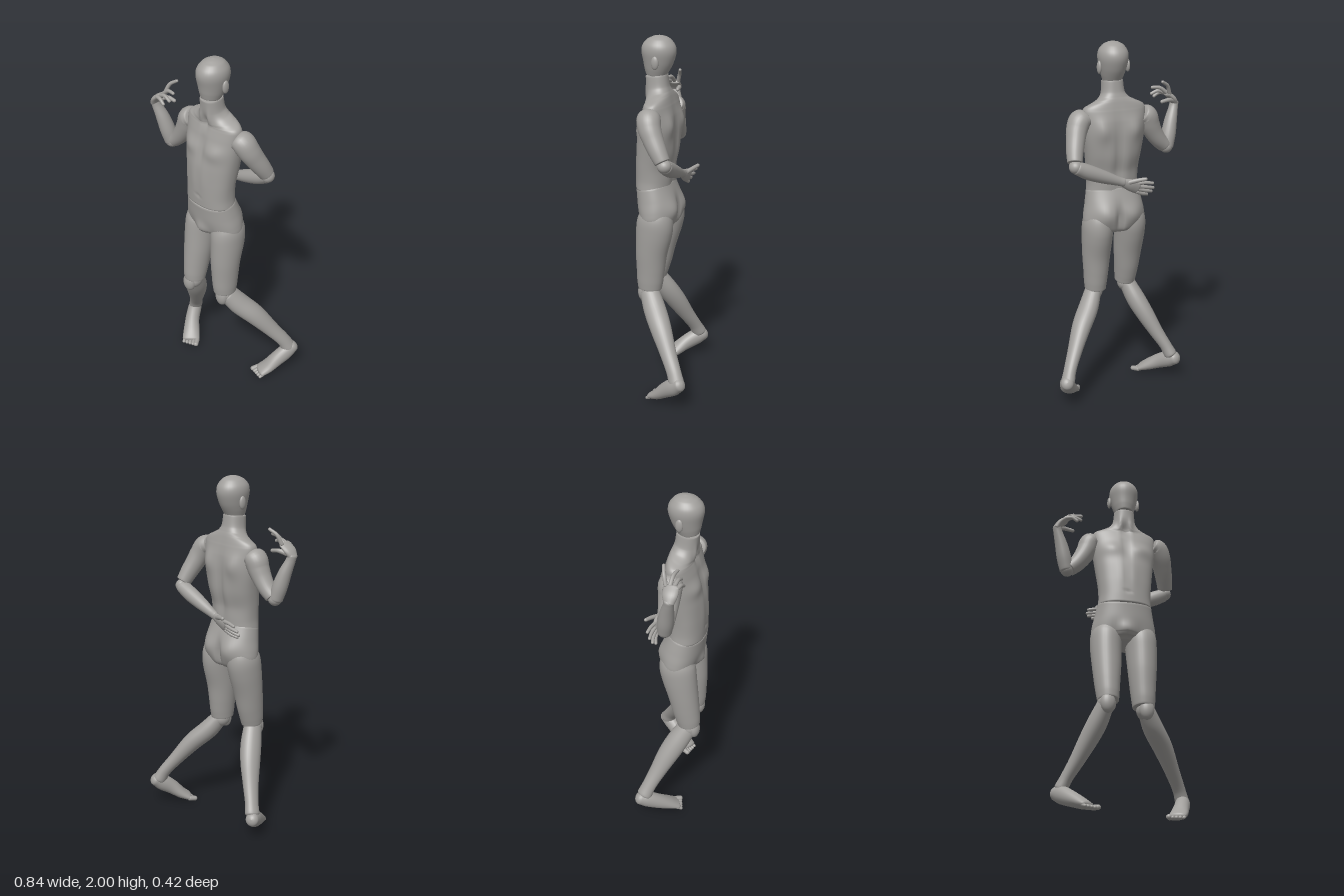
import * as THREE from 'three';

const V = (p) => new THREE.Vector3(p[0], p[1], p[2]);
const Y = V([0, 1, 0]), Z = V([0, 0, 1]);

// Smooth loft along rows [x, y, z, halfWidth, halfDepth]; ref is the direction of depth.
function loft(rows, { ref = Z, n = 24, steps = 5, cap = 0.6, power = 1, bend = null } = {}) {
  const path = new THREE.CatmullRomCurve3(rows.map(V), false, 'centripetal');
  const size = new THREE.CatmullRomCurve3(rows.map((r) => V([r[3], r[4] ?? r[3], 0])), false, 'catmullrom', 0.5);
  const count = (rows.length - 1) * steps, rings = [];
  const dome = (t, sign) => [0.25, 0.5, 0.75, 0.92, 1].map((k) => {
    const s = size.getPoint(t);
    const c = path.getPoint(t).addScaledVector(path.getTangent(t), sign * k * cap * Math.min(s.x, s.y));
    return { c, t, s: s.multiplyScalar(Math.sqrt(1 - k * k)) };
  });
  rings.push(...dome(0, -1).reverse());
  for (let i = 0; i <= count; i++) rings.push({ c: path.getPoint(i / count), t: i / count, s: size.getPoint(i / count) });
  rings.push(...dome(1, 1));

  const pos = [], index = [];
  const soft = (v) => Math.sign(v) * Math.abs(v) ** power;
  rings.forEach(({ c, t, s }, i) => {
    const along = path.getTangent(t);
    const side = ref.clone().cross(along).normalize();
    const front = along.clone().cross(side);
    for (let j = 0; j < n; j++) {
      const a = (j / n) * Math.PI * 2;
      const v = c.clone()
        .addScaledVector(side, soft(Math.cos(a)) * Math.max(s.x, 0.0005))
        .addScaledVector(front, soft(Math.sin(a)) * Math.max(s.y, 0.0005));
      if (bend) bend(v);
      pos.push(v.x, v.y, v.z);
      if (i < rings.length - 1) {
        const p = i * n + j, q = i * n + ((j + 1) % n);
        index.push(p, q, p + n, q, q + n, p + n);
      }
    }
  });
  const g = new THREE.BufferGeometry();
  g.setAttribute('position', new THREE.Float32BufferAttribute(pos, 3));
  g.setIndex(index);
  g.computeVertexNormals();
  return g;
}

// Muscle relief: [x, y, facing, height, spreadX, spreadY], mirrored where x is not 0
const torsoRelief = [
  [0.085, 1.505, 1, 0.017, 0.06, 0.045], [0, 1.52, 1, -0.01, 0.015, 0.08],
  [0.035, 1.33, 1, 0.005, 0.025, 0.09], [0, 1.225, 1, -0.006, 0.012, 0.01],
  [0, 1.655, 1, -0.014, 0.018, 0.035], [0.03, 1.68, 1, 0.008, 0.012, 0.05],
  [0.095, 1.53, -1, 0.018, 0.04, 0.06], [0, 1.42, -1, -0.014, 0.022, 0.16],
  [0.05, 1.3, -1, 0.006, 0.03, 0.1],
];
const hipRelief = [
  [0.08, 1.05, -1, 0.024, 0.06, 0.06], [0, 1.02, -1, -0.028, 0.014, 0.07],
  [0, 1.0, 1, 0.02, 0.036, 0.045], [0.07, 0.985, 1, -0.006, 0.02, 0.04],
];
const sculpt = (relief) => (v) => {
  let dz = 0;
  for (const [x, y, face, h, sx, sy] of relief) {
    const weight = THREE.MathUtils.clamp(((v.z - 0.08) * face) / 0.05, 0, 1);
    dz += face * h * weight * Math.exp(-(((Math.abs(v.x) - x) / sx) ** 2) - ((v.y - y) / sy) ** 2);
  }
  v.z += dz;
};

export function createModel() {
  const model = new THREE.Group();
  const grey = new THREE.MeshStandardMaterial({ color: 0xa19f9c });
  grey.name = 'matte grey';
  const add = (name, geometry, parent = model) => {
    const m = new THREE.Mesh(geometry, grey);
    m.name = name;
    parent.add(m);
    return m;
  };
  const ball = (name, p, r, parent) => {
    const m = add(name, new THREE.SphereGeometry(1, 24, 16), parent);
    m.position.set(...p);
    m.scale.set(...r);
  };
  const group = (name) => {
    const g = new THREE.Group();
    g.name = name;
    model.add(g);
    return g;
  };

  // Head and ears
  add('head', loft([
    [0, 1.785, 0.097, 0.052, 0.056], [0, 1.82, 0.092, 0.064, 0.07], [0, 1.87, 0.084, 0.076, 0.087],
    [0, 1.915, 0.08, 0.083, 0.096], [0, 1.95, 0.078, 0.077, 0.088], [0, 1.98, 0.077, 0.055, 0.062],
    [0, 1.994, 0.077, 0.029, 0.033], [0, 2, 0.077, 0.002, 0.002]], { n: 32, cap: 0.05 }));
  for (const s of [-1, 1]) ball('ear', [s * 0.083, 1.863, 0.072], [0.012, 0.036, 0.021]);

  // Torso with neck
  add('torso', loft([
    [0, 1.165, 0.1, 0.15, 0.098], [0, 1.22, 0.1, 0.146, 0.099], [0, 1.3, 0.099, 0.151, 0.098],
    [0, 1.4, 0.085, 0.163, 0.106], [0, 1.5, 0.073, 0.176, 0.098], [0, 1.58, 0.069, 0.181, 0.086],
    [0, 1.63, 0.068, 0.181, 0.073], [0, 1.652, 0.07, 0.167, 0.068], [0, 1.67, 0.074, 0.128, 0.067],
    [0, 1.69, 0.079, 0.088, 0.065], [0, 1.72, 0.085, 0.065, 0.062], [0, 1.785, 0.092, 0.057, 0.06]],
  { n: 56, steps: 8, cap: 0.05, power: 0.88, bend: sculpt(torsoRelief) }));

  // Pelvis with buttocks and groin
  add('pelvis', loft([
    [0, 1.175, 0.1, 0.151, 0.1], [0, 1.1, 0.084, 0.166, 0.108], [0, 1.04, 0.075, 0.178, 0.106],
    [0, 0.995, 0.07, 0.179, 0.1], [0, 0.965, 0.072, 0.155, 0.088], [0, 0.95, 0.075, 0.09, 0.06]],
  { n: 56, steps: 8, cap: 0.1, power: 0.92, bend: sculpt(hipRelief) }));

  // Legs: thigh, knee, shin, foot and toes
  const legs = {
    leftLeg: {
      thigh: [[0.085, 1.06, 0.075, 0.065, 0.08], [0.096, 1.0, 0.069, 0.085, 0.1], [0.1, 0.93, 0.073, 0.086, 0.104],
        [0.101, 0.8, 0.09, 0.079, 0.09], [0.102, 0.7, 0.095, 0.071, 0.081], [0.104, 0.63, 0.098, 0.065, 0.075],
        [0.105, 0.585, 0.099, 0.06, 0.068]],
      knee: [0.115, 0.565, 0.1],
      shin: [[0.125, 0.56, 0.092, 0.046, 0.056], [0.168, 0.49, 0.048, 0.054, 0.063], [0.234, 0.41, -0.014, 0.052, 0.06],
        [0.307, 0.295, -0.088, 0.039, 0.046], [0.354, 0.215, -0.138, 0.034, 0.041], [0.374, 0.165, -0.16, 0.037, 0.044]],
      foot: [[0.387, 0.16, -0.182, 0.036, 0.038], [0.374, 0.133, -0.142, 0.041, 0.048], [0.352, 0.095, -0.09, 0.043, 0.043],
        [0.325, 0.05, -0.04, 0.05, 0.032], [0.303, 0.026, -0.003, 0.052, 0.022]],
      toe: [-0.014, -0.006, 0.032], inner: -1,
    },
    rightLeg: {
      thigh: [[-0.085, 1.06, 0.075, 0.065, 0.08], [-0.096, 1.0, 0.071, 0.085, 0.1], [-0.1, 0.93, 0.081, 0.086, 0.101],
        [-0.1, 0.8, 0.107, 0.079, 0.087], [-0.1, 0.7, 0.124, 0.07, 0.079], [-0.099, 0.63, 0.137, 0.063, 0.071],
        [-0.098, 0.59, 0.143, 0.058, 0.064]],
      knee: [-0.106, 0.57, 0.145],
      shin: [[-0.112, 0.565, 0.136, 0.046, 0.056], [-0.145, 0.48, 0.091, 0.054, 0.063], [-0.185, 0.395, 0.048, 0.051, 0.06],
        [-0.24, 0.285, 0.0, 0.04, 0.047], [-0.284, 0.205, -0.034, 0.034, 0.041], [-0.307, 0.155, -0.052, 0.037, 0.044]],
      foot: [[-0.328, 0.13, -0.072, 0.037, 0.039], [-0.306, 0.114, -0.037, 0.041, 0.048], [-0.268, 0.082, 0.018, 0.043, 0.043],
        [-0.22, 0.046, 0.07, 0.05, 0.032], [-0.192, 0.026, 0.1, 0.052, 0.022]],
      toe: [0.022, -0.006, 0.032], inner: 1,
    },
  };
  for (const [name, leg] of Object.entries(legs)) {
    const g = group(name);
    add('thigh', loft(leg.thigh, { n: 32, cap: 0.15 }), g);
    ball('kneeJoint', leg.knee, [0.05, 0.052, 0.056], g);
    const [kx, ky, kz] = leg.knee;
    ball('kneecap', [kx, ky - 0.004, kz + 0.033], [0.04, 0.058, 0.032], g);
    add('shin', loft(leg.shin, { n: 28 }), g);
    add('foot', loft(leg.foot, { ref: Y, n: 24, cap: 0.8 }), g);
    const tip = V(leg.foot[4]), dir = V(leg.toe);
    const across = Y.clone().cross(dir).setY(0).normalize();
    if (across.x * leg.inner < 0) across.negate();
    for (let i = 0; i < 5; i++) {
      const r = i === 0 ? 0.015 : 0.0115 - i * 0.0005;
      const a = tip.clone().addScaledVector(across, 0.038 - i * 0.0195);
      const b = a.clone().addScaledVector(dir, 1 - i * 0.1);
      a.y = 0.022;
      b.y = r + 0.002;
      add('toe', loft([[...a, r, r], [...b, r, r * 0.9]], { ref: Y, n: 12, cap: 0.9 }), g);
    }
  }

  // Arms: upper arm, elbow ball, forearm, palm and fingers
  const arms = {
    leftArm: {
      upper: [[0.172, 1.592, 0.068, 0.05, 0.06], [0.2, 1.583, 0.062, 0.061, 0.065], [0.225, 1.54, 0.046, 0.058, 0.062],
        [0.243, 1.49, 0.02, 0.052, 0.056], [0.26, 1.435, -0.012, 0.047, 0.05], [0.272, 1.385, -0.042, 0.041, 0.043]],
      elbow: [0.272, 1.362, -0.053],
      fore: [[0.262, 1.355, -0.055, 0.038, 0.04], [0.2, 1.325, -0.054, 0.042, 0.041], [0.11, 1.288, -0.053, 0.036, 0.035],
        [0.03, 1.257, -0.054, 0.026, 0.024], [-0.005, 1.245, -0.056, 0.024, 0.02]],
      palm: [[0, 1.245, -0.056, 0.023, 0.017], [-0.045, 1.226, -0.058, 0.035, 0.018], [-0.09, 1.205, -0.057, 0.037, 0.014]],
      palmRef: V([0, 0.25, 1]),
      fingers: [
        [[-0.085, 1.232, -0.062], [-0.13, 1.233, -0.07], [-0.172, 1.226, -0.074]],
        [[-0.093, 1.214, -0.058], [-0.14, 1.204, -0.062], [-0.182, 1.195, -0.058]],
        [[-0.093, 1.196, -0.054], [-0.14, 1.181, -0.052], [-0.178, 1.17, -0.042]],
        [[-0.087, 1.18, -0.05], [-0.125, 1.163, -0.045], [-0.156, 1.152, -0.032]],
        [[-0.03, 1.243, -0.064], [-0.076, 1.256, -0.087], [-0.118, 1.264, -0.104]]],
    },
    rightArm: {
      upper: [[-0.17, 1.588, 0.067, 0.05, 0.06], [-0.193, 1.576, 0.067, 0.061, 0.065], [-0.212, 1.53, 0.069, 0.058, 0.061],
        [-0.236, 1.483, 0.072, 0.052, 0.055], [-0.27, 1.433, 0.075, 0.046, 0.049], [-0.31, 1.392, 0.08, 0.04, 0.043]],
      elbow: [-0.325, 1.382, 0.083],
      fore: [[-0.33, 1.385, 0.085, 0.038, 0.04], [-0.346, 1.45, 0.097, 0.041, 0.043], [-0.366, 1.525, 0.112, 0.035, 0.038],
        [-0.388, 1.59, 0.128, 0.026, 0.029], [-0.396, 1.62, 0.134, 0.024, 0.028]],
      palm: [[-0.4, 1.612, 0.136, 0.028, 0.02], [-0.38, 1.645, 0.133, 0.041, 0.019], [-0.345, 1.675, 0.13, 0.041, 0.015]],
      palmRef: V([-0.7, 0.7, 0]),
      fingers: [
        [[-0.35, 1.68, 0.1], [-0.33, 1.728, 0.084], [-0.292, 1.755, 0.068]],
        [[-0.343, 1.68, 0.121], [-0.3, 1.712, 0.122], [-0.256, 1.716, 0.128]],
        [[-0.343, 1.677, 0.142], [-0.3, 1.69, 0.147], [-0.262, 1.676, 0.151]],
        [[-0.35, 1.672, 0.16], [-0.317, 1.674, 0.168], [-0.287, 1.655, 0.172]],
        [[-0.378, 1.632, 0.112], [-0.34, 1.645, 0.09], [-0.297, 1.64, 0.085]]],
    },
  };
  for (const [name, arm] of Object.entries(arms)) {
    const g = group(name);
    add('upperArm', loft(arm.upper, { n: 28, cap: 0.15 }), g);
    ball('elbowJoint', arm.elbow, [0.037, 0.037, 0.039], g);
    add('forearm', loft(arm.fore, { n: 24 }), g);
    add('palm', loft(arm.palm, { ref: arm.palmRef, n: 20 }), g);
    arm.fingers.forEach((f, i) => {
      const r = i === 4 ? 0.0135 : 0.0118;
      const rows = f.map((p, k) => [...p, r * (1 - k * 0.13)]);
      add(i === 4 ? 'thumb' : 'finger', loft(rows, { ref: arm.palmRef, n: 12, cap: 0.9 }), g);
    });
  }
  return model;
}
